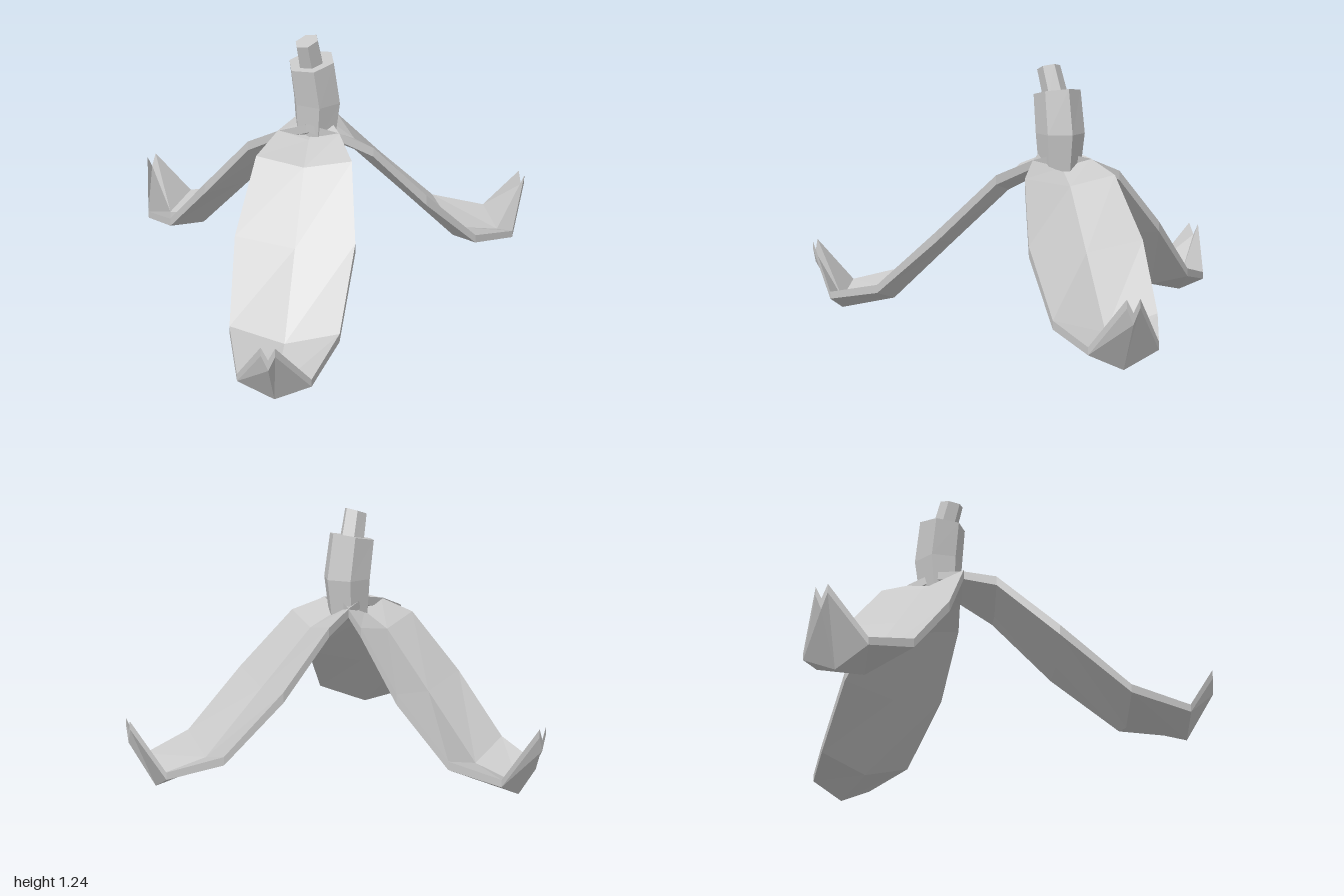
import * as THREE from 'three';

// Skin a row of six-point rings (counterclockwise seen from the far end) and cap both ends
function loft(rings) {
  const pos = [];
  const quad = (a, b, c, d) => pos.push(...a, ...b, ...c, ...a, ...c, ...d);
  for (let i = 0; i < rings.length - 1; i++) {
    const p = rings[i], q = rings[i + 1];
    for (let j = 0; j < 6; j++) {
      const k = (j + 1) % 6;
      quad(p[j], p[k], q[k], q[j]);
    }
  }
  const s = rings[0], e = rings[rings.length - 1];
  quad(e[0], e[1], e[4], e[5]);
  quad(e[1], e[2], e[3], e[4]);
  quad(s[5], s[4], s[1], s[0]);
  quad(s[4], s[3], s[2], s[1]);
  const g = new THREE.BufferGeometry();
  g.setAttribute('position', new THREE.Float32BufferAttribute(pos, 3));
  g.computeVertexNormals();
  return g;
}

// Shallow V-shaped peel section: top rims, inner spine, lower rims and keel
function peelRing([s, w, rim, rimLow, spine, keel]) {
  return [
    [s, rim, -w], [s, spine, 0], [s, rim, w],
    [s, rimLow, w], [s, keel, 0], [s, rimLow, -w],
  ];
}

// Hexagonal stem section, tilted by a slope along x
function hexRing([x, y, z, r, slope]) {
  return Array.from({ length: 6 }, (_, i) => {
    const a = (i * Math.PI) / 3;
    const dx = r * Math.cos(a);
    return [x + dx, y + dx * slope, z - r * Math.sin(a)];
  });
}

export function createModel() {
  const model = new THREE.Group();
  const grey = new THREE.MeshStandardMaterial({ color: 0xc8c8c8, flatShading: true });
  grey.name = 'light grey';

  const add = (name, geometry) => {
    const mesh = new THREE.Mesh(geometry, grey);
    mesh.name = name;
    model.add(mesh);
    return mesh;
  };

  // Peel strips: distance, half width, rim top, rim bottom, spine, keel
  const strip = loft([
    [-0.05, 0.06, 0.83, 0.79, 0.80, 0.76],
    [0.08, 0.143, 0.795, 0.755, 0.755, 0.71],
    [0.22, 0.22, 0.73, 0.685, 0.685, 0.63],
    [0.475, 0.272, 0.46, 0.41, 0.415, 0.365],
    [0.76, 0.243, 0.18, 0.14, 0.11, 0.065],
    [1.01, 0.16, 0.115, 0.08, 0.05, 0.003],
    [1.135, 0.03, 0.34, 0.30, 0.28, 0.23],
  ].map(peelRing));
  const strips = [
    ['leftPeelStrip', 13.5, 1],
    ['frontPeelStrip', 133.5, 1.1],
    ['backPeelStrip', 253.5, 0.925],
  ];
  for (const [name, degrees, length] of strips) {
    const mesh = add(name, strip);
    mesh.position.set(-0.11, 0, 0.05);
    mesh.rotation.y = -THREE.MathUtils.degToRad(degrees);
    mesh.scale.x = length;
  }

  // Bent stem and its thinner slanted tip
  add('stem', loft([
    [-0.085, 0.745, 0.05, 0.1, -0.05],
    [-0.078, 0.915, 0.05, 0.117, 0],
    [-0.108, 1.11, 0.05, 0.112, 0.19],
  ].map(hexRing)));
  add('stemTip', loft([
    [-0.11, 1.08, 0.055, 0.06, 0.3],
    [-0.15, 1.225, 0.072, 0.055, 0.35],
  ].map(hexRing)));

  return model;
}
